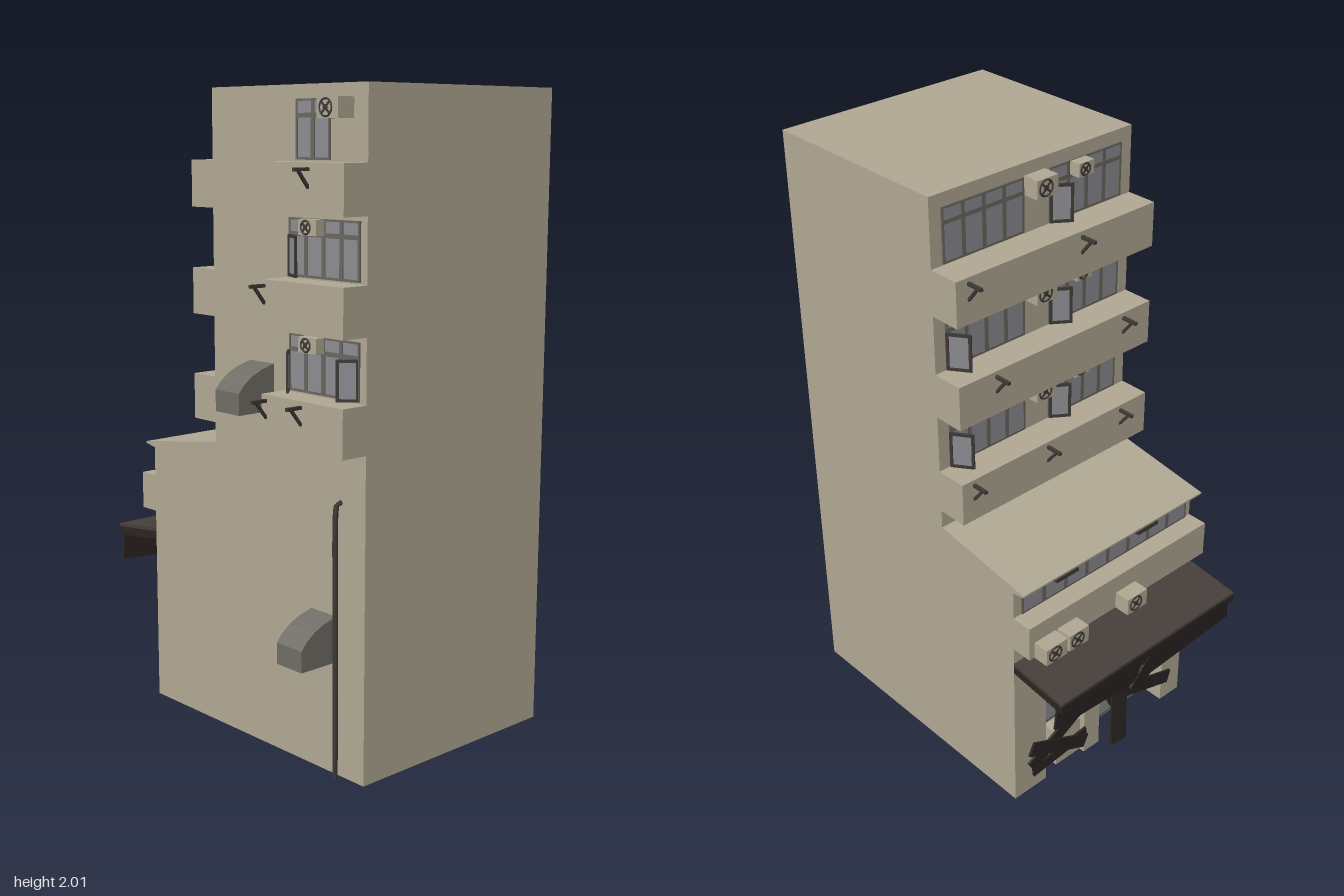
import * as THREE from 'three';

const mat = (name, color, side = THREE.FrontSide) => {
  const m = new THREE.MeshStandardMaterial({ color, side });
  m.name = name;
  return m;
};

export function createModel() {
  const model = new THREE.Group();
  model.name = 'apartmentBuilding';
  const wall = mat('wall', 0xb0a893);
  const grey = mat('greyMetal', 0x6f6d66);
  const frameMat = mat('windowFrame', 0x69675f);
  const glass = mat('glass', 0x8c8b90);
  const dark = mat('darkMetal', 0x3c3835);
  const awningMat = mat('awningSheet', 0x463f3a);
  const plankMat = mat('plank', 0x2a2422);

  const add = (parent, name, geo, material) => {
    const m = new THREE.Mesh(geo, material);
    m.name = name;
    parent.add(m);
    return m;
  };
  // box given by its minimum and maximum corners
  const box = (parent, name, material, x0, x1, y0, y1, z0, z1) => {
    const m = add(parent, name, new THREE.BoxGeometry(x1 - x0, y1 - y0, z1 - z0), material);
    m.position.set((x0 + x1) / 2, (y0 + y1) / 2, (z0 + z1) / 2);
    return m;
  };
  // x-y profile extruded along z
  const extrude = (pts, z0, z1) => {
    const s = new THREE.Shape(pts.map(p => new THREE.Vector2(p[0], p[1])));
    const g = new THREE.ExtrudeGeometry(s, { depth: z1 - z0, bevelEnabled: false });
    return g.translate(0, 0, z0);
  };

  const ZB = -0.45, ZF = 0.325;

  // main masses: tower, stepped lower storey, sloping roof
  box(model, 'tower', wall, -0.07, 0.595, 0.58, 2, ZB, ZF);
  add(model, 'lowerStorey', extrude([[-0.39, 0.58], [-0.07, 0.58], [-0.07, 0.92], [-0.435, 0.866],
    [-0.435, 0.86], [-0.39, 0.852]], ZB, ZF), wall);
  box(model, 'groundFloor', wall, -0.31, 0.595, 0, 0.58, ZB, ZF);
  box(model, 'entranceLintel', wall, -0.39, -0.31, 0.45, 0.58, ZB, ZF);
  for (const [a, b] of [[ZB, -0.315], [-0.14, -0.07], [0.235, ZF]])
    box(model, 'entrancePier', wall, -0.39, -0.31, 0, 0.45, a, b);
  box(model, 'shopSill', wall, -0.37, -0.31, 0, 0.14, -0.25, -0.14);

  // facades: local x runs along the wall, y is up, z points outwards
  const facade = (name, x, z, turn) => {
    const g = new THREE.Group();
    g.name = name;
    g.position.set(x, 0, z);
    g.rotation.y = turn;
    model.add(g);
    return g;
  };
  const front = facade('frontFacade', 0, ZF, 0);
  const side = facade('sideFacade', -0.07, 0, -Math.PI / 2);
  const lower = facade('lowerSideFacade', -0.39, 0, -Math.PI / 2);
  const shop = facade('shopFacade', -0.31, 0, -Math.PI / 2);

  // rectangular frame with a pane, origin at its lower left corner
  const pane = (parent, name, w, h, t = 0.007, d = 0.006, material = frameMat) => {
    const g = new THREE.Group();
    g.name = name;
    parent.add(g);
    box(g, 'glassPane', glass, t, w - t, t, h - t, d * 0.15, d * 0.5);
    box(g, 'frameBottom', material, 0, w, 0, t, 0, d);
    box(g, 'frameTop', material, 0, w, h - t, h, 0, d);
    box(g, 'frameLeft', material, 0, t, t, h - t, 0, d);
    box(g, 'frameRight', material, w - t, w, t, h - t, 0, d);
    return g;
  };
  // window with a transom strip over a row of panes
  const windowUnit = (parent, x0, x1, y0, y1, cols, transom = 0.045) => {
    const w = (x1 - x0) / cols;
    for (let i = 0; i < cols; i++) {
      pane(parent, 'windowPane', w, y1 - y0 - transom).position.set(x0 + i * w, y0, 0);
      if (transom) pane(parent, 'transomPane', w, transom, 0.006).position.set(x0 + i * w, y1 - transom, 0);
    }
  };
  // opened sash hinged at x; angles past a quarter turn swing from the right jamb
  const sash = (parent, x, y, angle, h = 0.12, w = 0.065) => {
    const s = pane(parent, 'openSash', w, h, 0.009, 0.007, dark);
    s.position.set(x, y, 0.004);
    s.rotation.y = -angle;
  };
  // air conditioner with a round fan grille
  const aircon = (parent, x0, x1, y0, y1, d) => {
    box(parent, 'airConditioner', wall, x0, x1, y0, y1, 0, d);
    const r = (y1 - y0) * 0.42, cx = x0 + (x1 - x0) * 0.42, cy = (y0 + y1) / 2;
    add(parent, 'fanRing', new THREE.TorusGeometry(r, 0.003, 6, 20), dark).position.set(cx, cy, d);
    for (let i = 0; i < 2; i++) {
      const b = add(parent, 'fanBlade', new THREE.BoxGeometry(2 * r, 0.006, 0.004), dark);
      b.position.set(cx, cy, d);
      b.rotation.z = Math.PI / 4 + i * Math.PI / 2;
    }
    add(parent, 'fanHub', new THREE.CylinderGeometry(r * 0.35, r * 0.35, 0.005, 12).rotateX(Math.PI / 2), dark)
      .position.set(cx, cy, d);
  };
  // drying rack: arm with a diagonal brace
  const bracket = (parent, x, y, z) => {
    box(parent, 'rackArm', dark, x - 0.005, x + 0.005, y - 0.005, y + 0.005, z, z + 0.055);
    const b = add(parent, 'rackBrace', new THREE.BoxGeometry(0.008, 0.008, 0.066), dark);
    b.position.set(x, y - 0.025, z + 0.02);
    b.rotation.x = -0.9;
  };

  // three upper storeys with balconies, windows and fittings
  const floors = [
    { y: 1.125, rackF: [0.275, 0.425], rackS: [-0.405, -0.105, 0.21] },
    { y: 1.457, rackF: [0.27], rackS: [-0.31, 0.21] },
    { y: 1.787, rackF: [0.455], rackS: [-0.405, 0.025] }
  ];
  floors.forEach(({ y, rackF, rackS }, i) => {
    box(front, 'frontBalcony', wall, 0.255, 0.595, y - 0.143, y, 0, 0.09);
    box(side, 'sideBalcony', wall, ZB, ZF, y - 0.143, y, 0, 0.103);
    rackF.forEach(x => bracket(front, x, y - 0.018, 0.09));
    rackS.forEach(x => bracket(side, x, y - 0.018, 0.103));
    windowUnit(side, -0.41, -0.11, y + 0.005, y + 0.173, 4);
    windowUnit(side, -0.01, 0.28, y + 0.005, y + 0.173, 4);
    aircon(side, -0.105, -0.025, y + 0.117, y + 0.175, 0.055);
    aircon(side, 0.07, 0.13, y + 0.13, y + 0.172, 0.042);
    if (i < 2) {
      windowUnit(front, 0.28, 0.425, y + 0.005, y + 0.173, 2);
      windowUnit(front, 0.425, 0.57, y + 0.005, y + 0.173, 2);
      aircon(front, 0.355, 0.43, y + 0.127, y + 0.172, 0.038);
      sash(front, 0.283, y + 0.005, i ? 0.4 : 0.8);
    }
    sash(side, -0.01, y + 0.005, 0.6, 0.12, 0.07);
    if (i < 2) sash(side, -0.41, y + 0.005, 0.95, 0.12, 0.075);
  });
  sash(front, 0.57, 1.13, Math.PI - 0.75);
  windowUnit(front, 0.31, 0.45, 1.792, 1.96, 2);
  aircon(front, 0.455, 0.54, 1.905, 1.962, 0.06);

  // lower side storey: parapet, window strip, air conditioners
  box(lower, 'lowerBalcony', wall, ZB, ZF, 0.637, 0.757, 0, 0.07);
  windowUnit(lower, -0.42, 0.3, 0.76, 0.845, 8, 0);
  for (const x of [-0.3, 0.05])
    box(lower, 'openTransom', dark, x, x + 0.09, 0.826, 0.838, 0, 0.03);
  const units = new THREE.Group();
  units.name = 'lowerAirConditioners';
  units.position.z = 0.07;
  lower.add(units);
  for (const [a, b] of [[-0.43, -0.345], [-0.335, -0.255], [-0.085, 0]])
    aircon(units, a, b, 0.637, 0.695, 0.053);

  // rounded exhaust hoods on the front
  const hoodShape = [[0, 0], [0.135, 0], [0.135, 0.065], [0.115, 0.088], [0.085, 0.11],
    [0.05, 0.126], [0, 0.14]];
  for (const [x, y] of [[0.1, 1.058], [0.37, 0.347]]) {
    const h = add(model, 'exhaustHood', extrude(hoodShape, 0, 0.107), grey);
    h.rotation.y = -Math.PI / 2;
    h.position.set(x + 0.107, y, ZF);
  }

  // drain pipe
  const pipe = new THREE.CatmullRomCurve3([[0.494, 0, 0.343], [0.494, 0.4, 0.343], [0.494, 0.815, 0.343],
    [0.494, 0.829, 0.338], [0.494, 0.83, 0.324]].map(p => new THREE.Vector3(...p)));
  add(model, 'drainPipe', new THREE.TubeGeometry(pipe, 40, 0.008, 8), dark);

  // awning over the shop entrance
  box(model, 'awningRim', plankMat, -0.597, -0.587, 0.515, 0.546, ZB, ZF);
  add(model, 'awningTop', extrude([[-0.39, 0.566], [-0.39, 0.58], [-0.6, 0.553], [-0.6, 0.543]], ZB, ZF).scale(1, 1, 1),
    awningMat);
  for (const z of [ZB, ZF - 0.008])
    add(model, 'awningEnd', extrude([[-0.6, 0.515], [-0.39, 0.54], [-0.39, 0.567], [-0.6, 0.543]], z, z + 0.008), plankMat);

  // shop windows and door at the back of the recess
  pane(shop, 'shopWindow', 0.17, 0.28, 0.012).position.set(-0.312, 0.15, 0);
  pane(shop, 'shopDoor', 0.14, 0.42, 0.012).position.set(-0.065, 0.01, 0);
  pane(shop, 'shopDoor', 0.14, 0.42, 0.012).position.set(0.085, 0.01, 0);

  // planks: [along wall, height, outward, length, width, turn, lean]
  const planks = [
    [-0.27, 0.47, 0.183, 0.36, 0.09, -0.06, 0.05], [0.13, 0.465, 0.183, 0.4, 0.09, 0.07, 0.05],
    [-0.06, 0.43, 0.183, 0.13, 0.06, 0.9, 0.05],
    [-0.27, 0.17, 0.008, 0.27, 0.05, 0.5, 0], [-0.27, 0.13, 0.014, 0.27, 0.05, -0.45, 0],
    [-0.26, 0.09, 0.008, 0.24, 0.04, 0.1, 0],
    [0.0, 0.14, 0.022, 0.29, 0.07, 1.45, -0.13], [0.08, 0.22, 0.008, 0.26, 0.05, 0.45, 0],
    [0.12, 0.15, 0.014, 0.28, 0.05, -0.3, 0], [0.13, 0.27, 0.008, 0.28, 0.05, 0.25, 0],
    [0.07, 0.34, 0.005, 0.2, 0.05, 0.8, 0]
  ];
  for (const [x, y, z, len, w, turn, lean] of planks) {
    const p = add(lower, 'plank', new THREE.BoxGeometry(len, w, 0.008), plankMat);
    p.position.set(x, y, z);
    p.rotation.set(lean, 0, turn);
  }
  return model;
}
